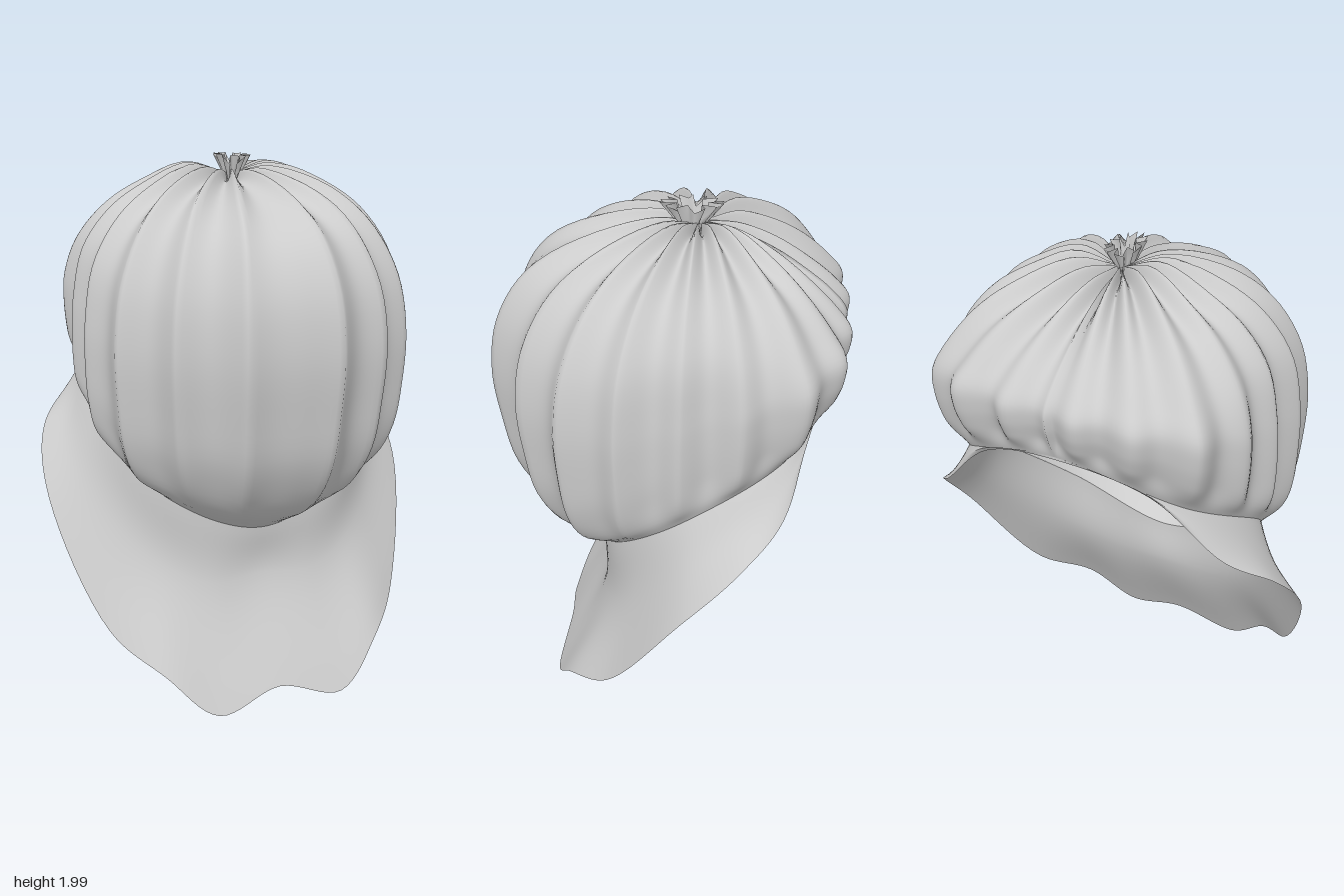
import * as THREE from 'three';

const V = (x, y, z) => new THREE.Vector3(x, y, z);
const POLE_Z = -0.1;
const PLEATS = 18;

const fabric = new THREE.MeshStandardMaterial({ color: 0xcccccc, side: THREE.DoubleSide });
fabric.name = 'light grey fabric';

// Closed loop through points given for one half, front to back, mirrored to the other half
function mirroredLoop(half) {
  const other = half.slice(1, -1).reverse().map(p => V(-p.x, p.y, p.z));
  return new THREE.CatmullRomCurve3([...half, ...other], true);
}

// Skin a closed surface: loops run from top to bottom, smoothed along each column
function skin(name, loops, cols, rows, warp) {
  const pos = [], index = [];
  for (let j = 0; j < cols; j++) {
    const column = new THREE.CatmullRomCurve3(loops.map(l => l.getPoint(j / cols)));
    for (let i = 0; i <= rows; i++) {
      const p = column.getPoint(i / rows);
      if (warp) warp(p, i / rows, j);
      pos.push(p.x, p.y, p.z);
    }
  }
  const at = (i, j) => (j % cols) * (rows + 1) + i;
  for (let j = 0; j < cols; j++) {
    for (let i = 0; i < rows; i++) {
      index.push(at(i, j), at(i + 1, j), at(i + 1, j + 1));
      index.push(at(i, j), at(i + 1, j + 1), at(i, j + 1));
    }
  }
  const geo = new THREE.BufferGeometry();
  geo.setAttribute('position', new THREE.Float32BufferAttribute(pos, 3));
  geo.setIndex(index);
  geo.computeVertexNormals();
  const mesh = new THREE.Mesh(geo, fabric);
  mesh.name = name;
  return mesh;
}

// Crown meridians: angle from the front, then [radius, height] from the pole to the rim
const meridians = [
  [0, [[.02, 1.91], [.15, 1.93], [.4, 1.87], [.6, 1.76], [.705, 1.6], [.74, 1.4], [.72, 1.18], [.675, .97], [.55, .78], [.35, .65]]],
  [53, [[.02, 1.91], [.15, 1.94], [.37, 1.88], [.52, 1.77], [.625, 1.6], [.665, 1.4], [.66, 1.2], [.635, 1.03], [.57, .89], [.47, .81]]],
  [90, [[.02, 1.91], [.15, 1.95], [.31, 1.89], [.44, 1.81], [.54, 1.68], [.58, 1.5], [.59, 1.38], [.59, 1.25], [.58, 1.14], [.55, 1.07]]],
  [131, [[.02, 1.91], [.15, 1.94], [.33, 1.88], [.47, 1.8], [.58, 1.69], [.64, 1.6], [.64, 1.51], [.62, 1.43], [.59, 1.36], [.555, 1.3]]],
  [180, [[.02, 1.91], [.13, 1.89], [.25, 1.84], [.36, 1.77], [.46, 1.69], [.515, 1.62], [.515, 1.56], [.5, 1.51], [.485, 1.47], [.47, 1.43]]],
];

function crownLoops() {
  return meridians[0][1].map((_, row) => mirroredLoop(meridians.map(([deg, prof]) => {
    const a = THREE.MathUtils.degToRad(deg), [r, y] = prof[row];
    return V(Math.abs(r * Math.sin(a)), y, POLE_Z + r * Math.cos(a));
  })));
}

// Pleats: sharp ridges at the front, rounder ones at the back, fading at the rim;
// the middle front pleat is the widest and sits slightly off centre
function pleat(p, t) {
  const a = Math.atan2(p.x, p.z - POLE_Z);
  const b = a - 0.06 * Math.tanh(a / 0.15) * Math.cos(a) + 0.045;
  const sharp = 1 - Math.abs(Math.cos(b * PLEATS / 2));
  const soft = 0.5 - 0.5 * Math.cos(b * PLEATS);
  const ridge = THREE.MathUtils.lerp(soft, sharp, 0.5 + 0.5 * Math.cos(a));
  const fade = THREE.MathUtils.smoothstep(1 - t, 0, 0.2);
  const k = 1 + 0.075 * fade * (ridge - 0.5);
  p.x *= k;
  p.z = POLE_Z + (p.z - POLE_Z) * k;
  p.y += 0.05 * (ridge - 0.5) * THREE.MathUtils.smoothstep(0.5 - t, 0, 0.4);
}

// Brim: middle and outer edge from front to back; the inner edge follows the crown rim
const brimMiddle = [
  V(0, .46, .24), V(.2, .45, .25), V(.36, .52, .2), V(.5, .64, .1), V(.63, .88, -.09),
  V(.62, 1.03, -.25), V(.5, 1.19, -.435), V(.28, 1.37, -.53), V(0, 1.425, -.57),
];
const brimEdge = [
  V(0, .07, .43), V(.25, .01, .45), V(.43, .165, .37), V(.59, .3, .2), V(.735, .75, -.09),
  V(.7, .97, -.29), V(.56, 1.1, -.43), V(.32, 1.33, -.505), V(0, 1.42, -.57),
];

// Small zigzag frill around the gathered top, longer from front to back than across
function frill(name, top, bottom) {
  const ring = ([r, y]) => mirroredLoop([0, 45, 90, 135, 180].map(d => {
    const a = THREE.MathUtils.degToRad(d);
    return V(0.6 * r * Math.sin(a), y, -0.07 + 1.1 * r * Math.cos(a));
  }));
  return skin(name, [ring(top), ring(bottom)], 28, 2, (p, t, j) => {
    const k = j % 2 ? 1 + 0.2 * t : 1 - 0.4 * t;
    p.x *= k;
    p.z = -0.07 + (p.z + 0.07) * k;
    if (j % 4 === 0) p.y -= 0.03 * t;
  });
}

export function createModel() {
  const group = new THREE.Group();
  group.name = 'bonnet';
  const crown = crownLoops();
  group.add(skin('pleatedCrown', crown, 288, 40, pleat));
  group.add(skin('brim', [crown[crown.length - 1], mirroredLoop(brimMiddle), mirroredLoop(brimEdge)], 128, 16));
  group.add(frill('topGather', [.03, 1.9], [.085, 2.0]));
  group.add(frill('innerGather', [.03, 1.92], [.11, 1.83]));
  return group;
}
